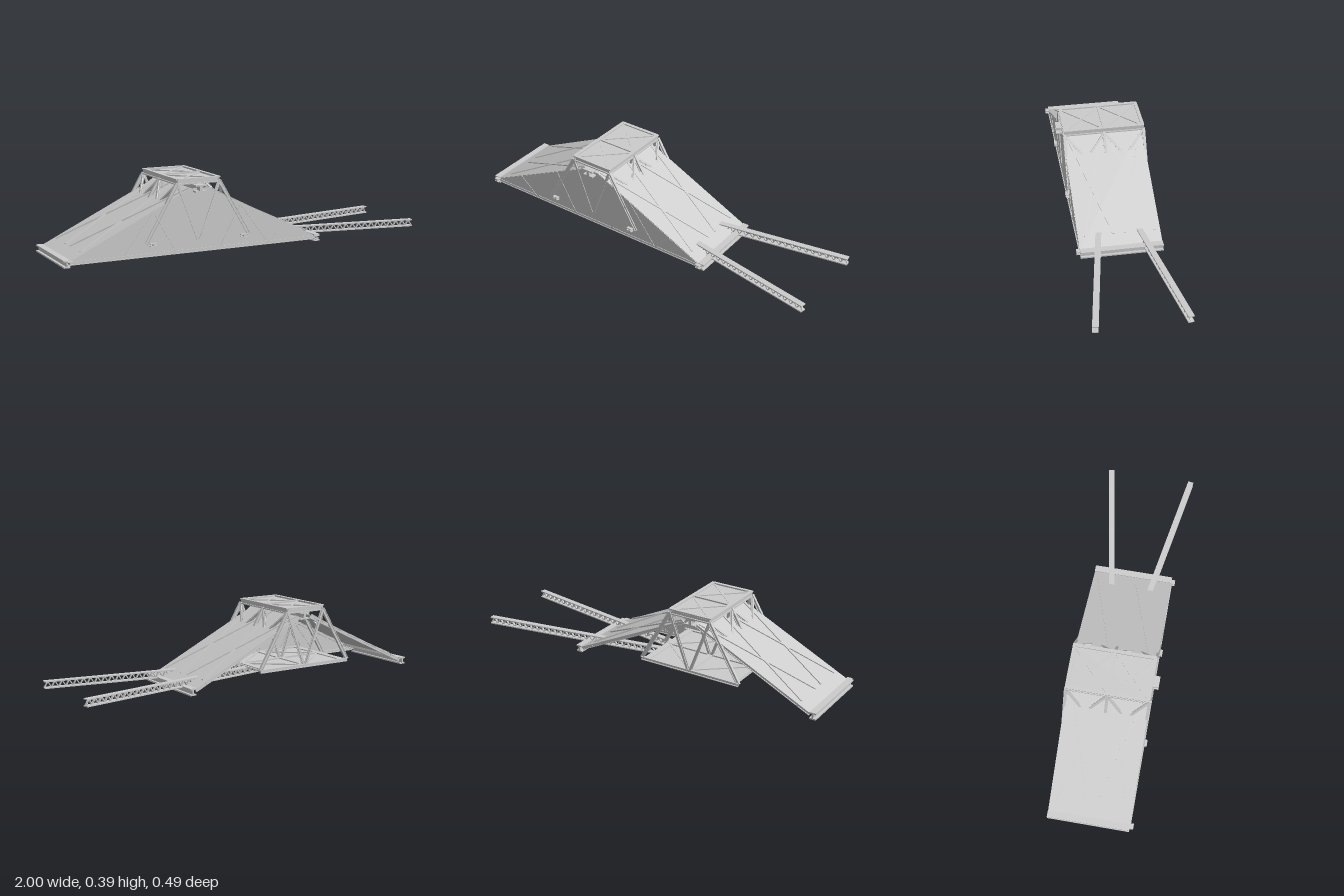
import * as THREE from 'three';
import { mergeGeometries } from 'three/addons/utils/BufferGeometryUtils.js';

const CX = -0.29;   // symmetry plane of the shelter
const HZ = 0.21;    // half depth
const V = (x, y, z) => new THREE.Vector3(x, y, z);
const UP = V(0, 1, 0), FRONT = V(0, 0, 1);

export function createModel() {
  const model = new THREE.Group();
  const mat = new THREE.MeshStandardMaterial({ color: 0xcccccc, flatShading: true, side: THREE.DoubleSide });

  const add = (name, ...geos) => {
    const mesh = new THREE.Mesh(geos.length > 1 ? mergeGeometries(geos) : geos[0], mat);
    mesh.name = name;
    model.add(mesh);
  };

  // Place a geometry built along z between two points
  const orient = (g, a, b, up) => {
    const d = b.clone().sub(a).normalize();
    const side = up.clone().cross(d).normalize();
    const m = new THREE.Matrix4().makeBasis(side, d.clone().cross(side), d);
    return g.applyMatrix4(m.setPosition(a.clone().add(b).multiplyScalar(0.5)));
  };

  // Solid bar and I-section bar
  const bar = (a, b, w, h, up = UP) => orient(new THREE.BoxGeometry(w, h, a.distanceTo(b)), a, b, up);
  const iBeam = (a, b, w, h, up = UP) => {
    const L = a.distanceTo(b), t = h * 0.2;
    const parts = [
      new THREE.BoxGeometry(w, t, L).translate(0, (h - t) / 2, 0),
      new THREE.BoxGeometry(w, t, L).translate(0, (t - h) / 2, 0),
      new THREE.BoxGeometry(w * 0.25, h - 2 * t, L),
    ];
    return orient(mergeGeometries(parts), a, b, up);
  };

  // Front wall sheet
  const wall = new THREE.Shape([[-0.965, 0.012], [0.385, 0.012], [0.385, 0.03], [-0.25, 0.335], [-0.33, 0.335], [-0.965, 0.03]]
    .map(([x, y]) => new THREE.Vector2(x, y)));
  add('frontWallSheet', new THREE.ExtrudeGeometry(wall, { depth: 0.003, bevelEnabled: false }).translate(0, 0, HZ + 0.001));

  // Front wall truss: bottom chord and web members
  const fz = HZ;
  add('frontBottomChord', iBeam(V(-0.96, 0.022, fz), V(0.38, 0.022, fz), 0.014, 0.018));
  const web = [];
  for (const s of [-1, 1]) {
    const pts = [[0.29, 0.06], [0.4, 0.025], [0.2, 0.23], [0.12, 0.025]];
    const nodes = [[0.5, 0.11], [0.4, 0.022], [0.24, 0.235], [0.12, 0.022]];
    for (let i = 0; i + 1 < nodes.length; i++)
      web.push(iBeam(V(CX + s * nodes[i][0], nodes[i][1], fz), V(CX + s * nodes[i + 1][0], nodes[i + 1][1], fz), 0.012, 0.012, FRONT));
  }
  add('frontWallBracing', ...web);

  for (const s of [-1, 1]) {
    const side = s > 0 ? 'left' : 'right';
    const X = d => CX + s * d;
    const lo = V(X(0.675), 0.03, 0), hi = V(X(0.04), 0.335, 0);
    const normal = V(s * 0.305, 0.635, 0).normalize();

    // Sloping roof sheet
    add(side + 'SlopeSheet', bar(lo, hi, HZ * 2 + 0.004, 0.004, normal));

    // Edge rafters under the sheet
    const under = normal.clone().multiplyScalar(-0.009);
    add(side + 'Rafters', ...[-1, 1].map(e => {
      const off = under.clone().setZ(e * (HZ - 0.006));
      return iBeam(lo.clone().add(off), hi.clone().add(off), 0.012, 0.014, normal);
    }));

    // Crossed braces lying on the slope, two bays
    const on = (t, z) => lo.clone().lerp(hi, t).setZ(z).addScaledVector(normal, 0.004);
    const braces = [];
    for (const e of [-1, 1]) {
      braces.push(iBeam(on(0.1, e * 0.03), on(0.99, e * 0.203), 0.012, 0.012, normal));
      braces.push(iBeam(on(0.1, e * 0.18), on(0.99, e * 0.008), 0.012, 0.012, normal));
    }
    add(side + 'SlopeBraces', ...braces);
    add(side + 'SlopePurlin', bar(on(0.1, -HZ).addScaledVector(normal, -0.012), on(0.1, HZ).addScaledVector(normal, -0.012), 0.012, 0.012, normal));

    // Ground beam at the foot of the slope, with stub end
    add(side + 'GroundBeam', iBeam(V(X(0.69), 0.019, -HZ - 0.003), V(X(0.69), 0.019, HZ + 0.003), 0.034, 0.037));
    add(side + 'GroundBeamStub', iBeam(V(X(0.68), 0.025, HZ), V(X(0.68), 0.025, HZ + 0.022), 0.028, 0.018));

    // Three steep legs carrying the raised top, and short knee braces between
    const top = z => V(X(0.115), 0.365, z), foot = z => V(X(0.285), 0.075, z);
    const steep = V(s * 0.29, 0.17, 0).normalize();
    const legs = [], knees = [];
    for (const z of [-HZ - 0.002, 0, HZ + 0.002]) {
      legs.push(iBeam(foot(z), top(z), 0.014, 0.018, steep));
      legs.push(iBeam(V(CX + s * 0.006, 0.075, z), top(z), 0.012, 0.014, FRONT));
    }
    for (const [z0, z1] of [[0.205, 0.12], [0.005, 0.09]])
      for (const e of [-1, 1])
        knees.push(iBeam(V(X(0.12), 0.352, e * z0), V(X(0.174), 0.26, e * z1), 0.012, 0.012, steep));
    add(side + 'Legs', ...legs);
    add(side + 'KneeBraces', ...knees);

    // Floor cross beam, protruding at the front
    add(side + 'FloorBeam', iBeam(V(X(0.25), 0.073, -HZ - 0.004), V(X(0.25), 0.073, HZ + 0.02), 0.034, 0.016));
  }

  // Raised top: sheet, perimeter, middle beam and crossed braces
  const tx = 0.113;
  add('topSheet', new THREE.BoxGeometry(tx * 2, 0.004, HZ * 2).translate(CX, 0.374, 0));
  const frame = [];
  for (const s of [-1, 1]) {
    frame.push(iBeam(V(CX + s * tx, 0.372, -HZ - 0.004), V(CX + s * tx, 0.372, HZ + 0.004), 0.018, 0.03));
    frame.push(iBeam(V(CX - tx, 0.372, s * (HZ - 0.003)), V(CX + tx, 0.372, s * (HZ - 0.003)), 0.018, 0.03));
    for (const e of [-1, 1])
      frame.push(iBeam(V(CX - s * tx, 0.378, 0), V(CX + s * tx, 0.378, e * HZ), 0.011, 0.01));
  }
  frame.push(iBeam(V(CX - tx, 0.374, 0), V(CX + tx, 0.374, 0), 0.014, 0.024));
  add('topFrame', ...frame);

  // Ridge beam running front to back below the top
  add('ridgeBeam', iBeam(V(CX, 0.336, -HZ), V(CX, 0.336, HZ + 0.036), 0.06, 0.038));

  // Floor: deck, edge beams and bracing
  add('floorDeck', new THREE.BoxGeometry(0.53, 0.004, HZ * 2).translate(CX, 0.07, 0));
  const floor = [];
  for (const z of [-HZ - 0.004, 0, HZ - 0.006])
    floor.push(iBeam(V(CX - 0.285, 0.073, z), V(CX + 0.285, 0.073, z), 0.016, 0.018));
  for (const s of [-1, 1])
    for (const e of [-1, 1])
      floor.push(iBeam(V(CX, 0.074, e * HZ), V(CX + s * 0.25, 0.074, 0), 0.012, 0.012));
  floor.push(iBeam(V(CX, 0.073, -HZ), V(CX, 0.073, HZ), 0.03, 0.016));
  add('floorFrame', ...floor);

  // Two splayed lattice booms
  for (const e of [-1, 1]) {
    const at = (x, y) => V(x, y, e * (0.227 - 0.174 * (1 - x)));
    const x0 = -0.2, x1 = 0.997, n = 66, parts = [];
    for (const y of [0.034, 0.067]) parts.push(bar(at(x0, y), at(x1, y), 0.03, 0.006));
    for (let i = 0; i < n; i++) {
      const xa = x0 + (x1 - x0) * i / n, xb = x0 + (x1 - x0) * (i + 1) / n;
      const [ya, yb] = i % 2 ? [0.066, 0.035] : [0.035, 0.066];
      parts.push(bar(at(xa, ya), at(xb, yb), 0.012, 0.005));
    }
    add(e > 0 ? 'frontBoom' : 'backBoom', ...parts);
  }
  return model;
}
